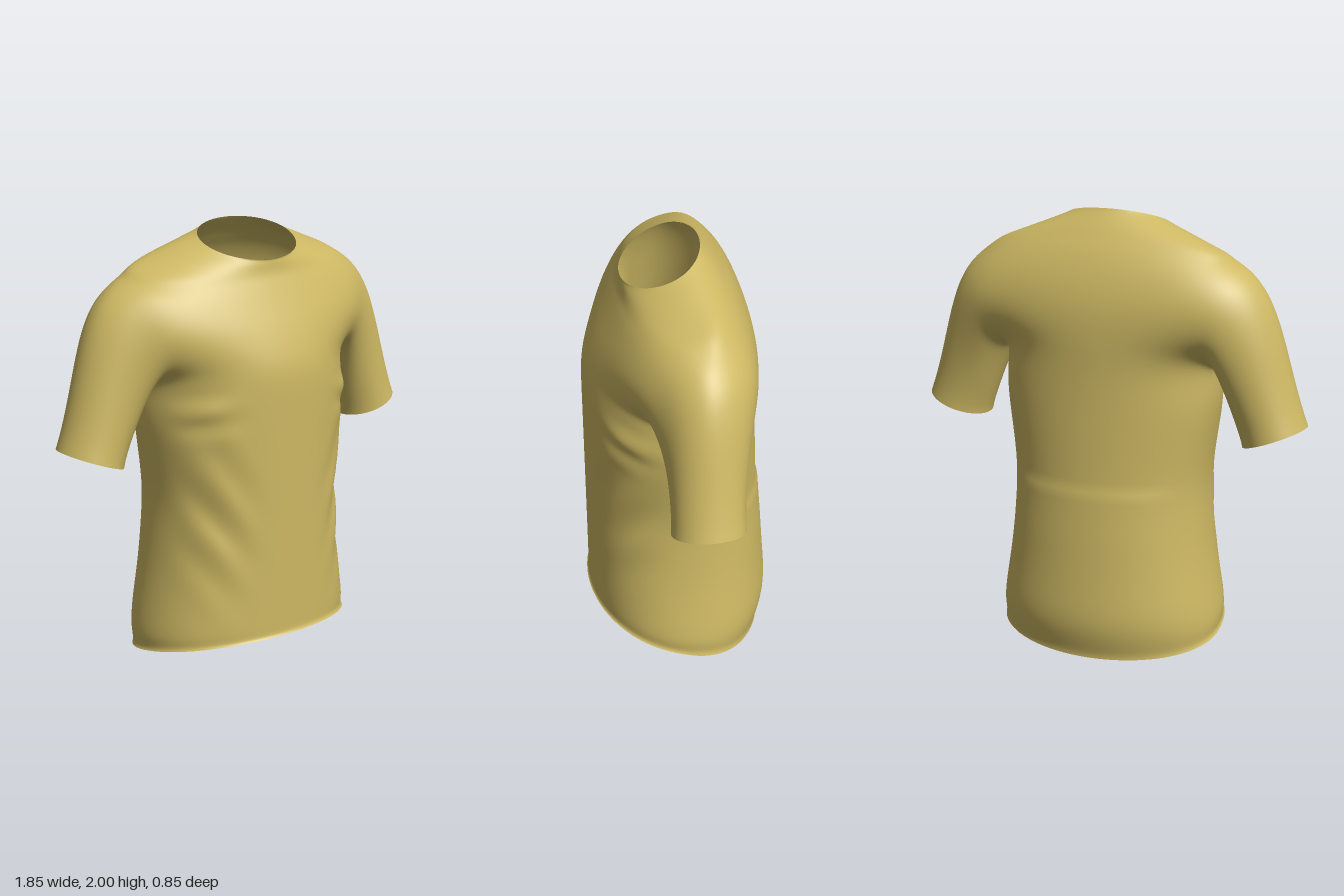
import * as THREE from 'three';
import { mergeVertices } from 'three/addons/utils/BufferGeometryUtils.js';

// Stations from hem to neck:
// [side x, side y, side z of front panel, side z of back panel, front y, front z, back y, back z]
const STATIONS = [
  [0.53, 0.07, -0.03, -0.03, 0.18, 0.43, 0, -0.39],
  [0.54, 0.13, -0.03, -0.03, 0.22, 0.43, 0.08, -0.415],
  [0.53, 0.22, -0.03, -0.03, 0.29, 0.43, 0.20, -0.435],
  [0.495, 0.42, -0.03, -0.03, 0.45, 0.43, 0.42, -0.41],
  [0.475, 0.62, -0.03, -0.03, 0.63, 0.43, 0.62, -0.39],
  [0.468, 0.80, -0.03, -0.03, 0.82, 0.43, 0.80, -0.375],
  [0.495, 1.00, -0.03, -0.03, 1.02, 0.43, 1.00, -0.365],
  [0.52, 1.18, -0.03, -0.03, 1.20, 0.43, 1.18, -0.355],
  [0.51, 1.32, -0.03, -0.03, 1.36, 0.43, 1.33, -0.35], // armpit
  [0.51, 1.42, 0.17, -0.22, 1.46, 0.41, 1.46, -0.345],
  [0.53, 1.55, 0.225, -0.275, 1.58, 0.362, 1.60, -0.33],
  [0.555, 1.67, 0.18, -0.25, 1.67, 0.318, 1.73, -0.29],
  [0.575, 1.765, 0.09, -0.165, 1.75, 0.28, 1.83, -0.24],
  [0.58, 1.81, -0.04, -0.04, 1.79, 0.262, 1.88, -0.205], // shoulder tip
  [0.47, 1.855, -0.02, -0.02, 1.82, 0.254, 1.92, -0.175],
  [0.34, 1.905, 0.02, 0.02, 1.845, 0.25, 1.96, -0.14],
  [0.24, 1.935, 0.06, 0.06, 1.862, 0.245, 2.0, -0.10],
];
const STEPS = 8, COLS = 48, SLEEVE_STEPS = 28;
const ARMPIT = 8 * STEPS, SHOULDER = 13 * STEPS;
const ROWS = (STATIONS.length - 1) * STEPS;
const { smoothstep } = THREE.MathUtils;

// One point on a station's arc, t from -1 (right edge) to 1 (left edge)
function arcPoint([ex, ey, zF, zB, fy, fz, by, bz], t, front) {
  const ez = front ? zF : zB, cy = front ? fy : by, cz = front ? fz : bz;
  const span = Math.PI / 2 - 1.5 * (zF - zB); // flatter arc beside the armhole
  const low = Math.cos(span);
  const boxy = front ? 0.88 + 0.12 * smoothstep(ey, 1.2, 1.5) : 0.96;
  const k = Math.max(0, (Math.cos(t * span) - low) / (1 - low)) ** boxy;
  return new THREE.Vector3(ex * Math.sin(t * span) / Math.sin(span), ey + (cy - ey) * k, ez + (cz - ez) * k);
}

// Front or back panel as a grid of points [row][column]
function panel(front) {
  const grid = Array.from({ length: ROWS + 1 }, () => []);
  for (let c = 0; c <= COLS; c++) {
    const t = (c / COLS) * 2 - 1;
    const curve = new THREE.CatmullRomCurve3(STATIONS.map(s => arcPoint(s, t, front)), false, 'catmullrom', 0.5);
    for (let r = 0; r <= ROWS; r++) grid[r].push(curve.getPoint(r / ROWS));
  }
  return grid;
}

// Sleeve swept from the armhole edge to the cuff, one Bezier per loop point
function sleeve(front, back, side) {
  const col = side > 0 ? COLS : 0;
  const hole = [];
  for (let r = ARMPIT; r < SHOULDER; r++) hole.push(front[r][col]);
  for (let r = SHOULDER; r > ARMPIT; r--) hole.push(back[r][col]);
  hole.push(hole[0]);
  const axis = new THREE.Vector3(0.35 * side, -0.94, 0);
  const curves = hole.map((start, i) => {
    const a = (i / (hole.length - 1)) * Math.PI * 2;
    const s = Math.sin(a), w = (1 - Math.cos(a)) / 2; // w is 0 at the armpit, 1 on top
    const cuff = new THREE.Vector3(
      side * (0.785 - 0.14 * Math.cos(a)), 1.04 - 0.052 * Math.cos(a), -0.03 + 0.16 * s);
    const leave = new THREE.Vector3(side * (0.04 + 0.18 * w), -0.07, s > 0 ? -0.08 * s : -0.03 * s).add(start);
    const arrive = cuff.clone().addScaledVector(axis, -(0.1 + 0.25 * w));
    return new THREE.CubicBezierCurve3(start, leave, arrive, cuff);
  });
  return Array.from({ length: SLEEVE_STEPS + 1 }, (_, r) => curves.map(c => c.getPoint(r / SLEEVE_STEPS)));
}

// Relax the cloth towards neighbouring points, holding the open edges still
function relax(points, index, passes) {
  const near = points.map(() => new Set()), faces = points.map(() => 0);
  for (let i = 0; i < index.length; i += 3) {
    for (let k = 0; k < 3; k++) {
      const v = index[i + k];
      near[v].add(index[i + (k + 1) % 3]).add(index[i + (k + 2) % 3]);
      faces[v]++;
    }
  }
  for (let pass = 0; pass < passes; pass++) {
    const means = near.map(set => {
      const mean = new THREE.Vector3();
      for (const n of set) mean.add(points[n]);
      return mean.divideScalar(set.size);
    });
    points.forEach((p, v) => { if (near[v].size === faces[v]) p.lerp(means[v], 0.5); });
  }
}

// Cloth folds on the front; pocket seam on the back
function drape(p) {
  const x = Math.abs(p.x), hold = smoothstep(Math.abs(p.z), 0.05, 0.2);
  const near = (cx, cy, rx, ry) => Math.exp(-(((x - cx) / rx) ** 2) - ((p.y - cy) / ry) ** 2);
  if (p.z > 0) {
    p.z += hold * 0.012 * near(0.36, 0.75, 0.12, 0.3) * Math.sin(20 * (p.y - 1.5 * x));
    p.z += hold * 0.012 * near(0.4, 1.22, 0.1, 0.1) * Math.sin(38 * (p.y + 0.3 * x));
  } else {
    const pocket = smoothstep(p.y, 0.25, 0.6) * (1 - smoothstep(p.y, 0.76, 0.8));
    p.z -= 0.008 * pocket * hold * (1 - smoothstep(x, 0.3, 0.45));
  }
}

export function createModel() {
  const front = panel(true), back = panel(false);
  // Join the side seams and shoulder seams outside the armholes
  for (let r = 0; r <= ROWS; r++) {
    if (r > ARMPIT && r < SHOULDER) continue;
    for (const c of [0, COLS]) {
      front[r][c].lerp(back[r][c], 0.5);
      back[r][c].copy(front[r][c]);
    }
  }

  // Collect every grid in one surface so it runs smoothly across seams
  const positions = [], index = [], parts = [];
  const addGrid = (name, grid, flip) => {
    const base = positions.length / 3, n = grid[0].length, start = index.length;
    for (const row of grid) for (const p of row) positions.push(p.x, p.y, p.z);
    for (let r = 0; r < grid.length - 1; r++) {
      for (let c = 0; c < n - 1; c++) {
        const a = base + r * n + c, b = a + 1, d = a + n, e = d + 1;
        if (flip) index.push(a, d, b, b, d, e);
        else index.push(a, b, d, b, e, d);
      }
    }
    parts.push({ name, start, end: index.length });
  };
  addGrid('frontPanel', front, false);
  addGrid('backPanel', back, true);
  addGrid('leftSleeve', sleeve(front, back, 1), true);
  addGrid('rightSleeve', sleeve(front, back, -1), false);

  let surface = new THREE.BufferGeometry();
  surface.setAttribute('position', new THREE.Float32BufferAttribute(positions, 3));
  surface.setIndex(index);
  surface = mergeVertices(surface, 1e-4);
  const joined = Array.from(surface.index.array), position = surface.attributes.position;
  const points = Array.from({ length: position.count }, (_, i) => new THREE.Vector3().fromBufferAttribute(position, i));
  relax(points, joined, 30);
  points.forEach((p, i) => {
    drape(p);
    position.setXYZ(i, p.x, p.y, p.z);
  });
  surface.computeVertexNormals();

  // Split the surface back into named garment parts
  const cloth = new THREE.MeshStandardMaterial({ color: 0xcdb863, side: THREE.DoubleSide });
  const shirt = new THREE.Group();
  shirt.name = 'shirt';
  for (const { name, start, end } of parts) {
    const piece = surface.clone();
    piece.setIndex(joined.slice(start, end));
    const mesh = new THREE.Mesh(piece.toNonIndexed(), cloth);
    mesh.name = name;
    shirt.add(mesh);
  }
  return shirt;
}
